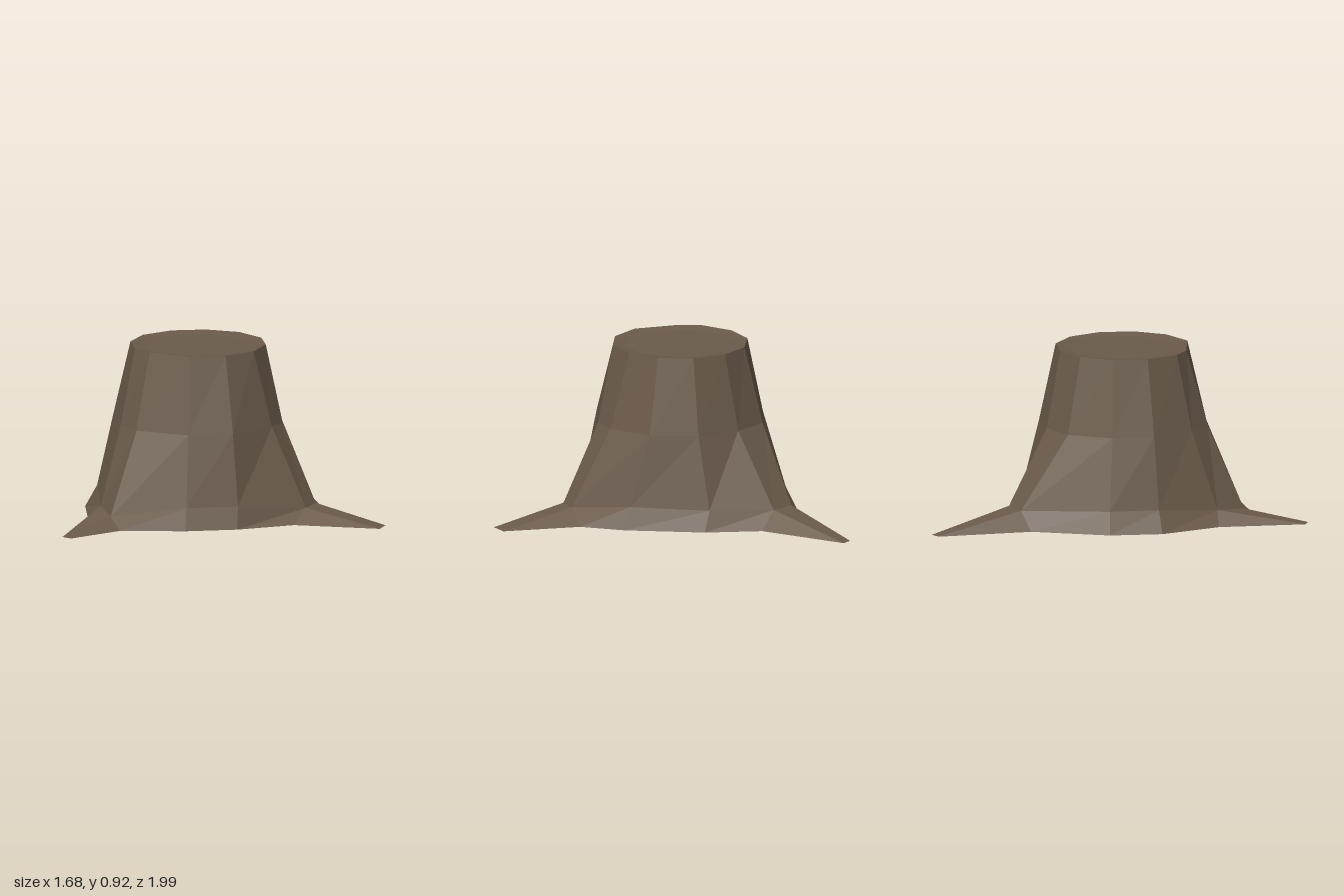
import * as THREE from 'three';

// Twelve columns, running back -> left -> front -> right; [x, y, z] per ring.
const top = [[-0.2, -0.205], [-0.38, -0.16], [-0.52, -0.025], [-0.565, 0.155], [-0.52, 0.34], [-0.43, 0.43],
  [-0.2, 0.525], [-0.015, 0.475], [0.12, 0.34], [0.165, 0.155], [0.12, -0.025], [-0.015, -0.16]]
  .map(([x, z]) => [x, 0.92, z]);
const mid = [[-0.22, -0.29], [-0.43, -0.25], [-0.6, -0.06], [-0.66, 0.155], [-0.59, 0.4], [-0.49, 0.53],
  [-0.2, 0.62], [0.035, 0.565], [0.22, 0.345], [0.26, 0.2], [0.21, -0.06], [0.02, -0.24]]
  .map(([x, z]) => [x, 0.51, z]);
const low = [[-0.265, 0.11, -0.525], [-0.405, 0.11, -0.51], [-0.69, 0.13, -0.11], [-0.745, 0.13, 0.15],
  [-0.685, 0.09, 0.51], [-0.61, 0.07, 0.69], [-0.2, 0.13, 0.71], [0.07, 0.13, 0.635],
  [0.41, 0.085, 0.41], [0.45, 0.09, 0.295], [0.32, 0.13, -0.03], [0.03, 0.12, -0.34]];
const base = [[-0.17, -0.54], [-0.5, -0.49], [-0.74, -0.13], [-0.81, 0.145], [-0.755, 0.49], [-0.55, 0.78],
  [-0.2, 0.75], [0.07, 0.675], [0.36, 0.52], [0.5, 0.175], [0.37, -0.04], [0.08, -0.36]]
  .map(([x, z]) => [x, 0.012, z]);

// Root tips, two corners each, growing from columns i and i + 1.
const roots = [
  { name: 'backRoot', i: 0, tip: [[-0.345, 0.005, -1], [-0.405, 0.005, -0.985]] },
  { name: 'frontRightRoot', i: 4, tip: [[-0.84, 0.008, 0.955], [-0.79, 0.008, 0.99]] },
  { name: 'leftRoot', i: 8, tip: [[0.82, 0, 0.51], [0.84, 0, 0.41]] },
];

export function createModel() {
  const group = new THREE.Group();
  group.name = 'treeStump';
  const bark = new THREE.MeshStandardMaterial({ color: 0x6a5a4b, flatShading: true });
  bark.name = 'bark brown';

  // Builds a faceted mesh from triangles and quads.
  const addFaces = (name, faces) => {
    const pos = [];
    for (const [a, b, c, d] of faces) {
      pos.push(...a, ...b, ...c);
      if (d) pos.push(...a, ...c, ...d);
    }
    const geo = new THREE.BufferGeometry();
    geo.setAttribute('position', new THREE.Float32BufferAttribute(pos, 3));
    geo.computeVertexNormals();
    const mesh = new THREE.Mesh(geo, bark);
    mesh.name = name;
    group.add(mesh);
  };

  const trunk = [], flare = [], cut = [], underside = [];
  const cutCentre = [-0.2, 0.91, 0.16], floorCentre = [-0.2, 0.015, 0.16];
  // Slightly sunken inner ring of the cut
  const inner = top.map(([x, , z]) => [-0.2 + (x + 0.2) * 0.8, 0.91, 0.16 + (z - 0.16) * 0.8]);
  for (let i = 0; i < 12; i++) {
    const j = (i + 1) % 12;
    trunk.push([mid[i], mid[j], top[j], top[i]], [low[i], low[j], mid[j], mid[i]]);
    if (i % 4 !== 0) flare.push([base[i], base[j], low[j], low[i]]);
    cut.push([top[i], top[j], inner[j], inner[i]], [inner[i], inner[j], cutCentre]);
    underside.push([floorCentre, base[j], base[i]]);
  }
  addFaces('trunk', trunk);
  addFaces('baseFlare', flare);
  addFaces('cutTop', cut);
  addFaces('underside', underside);

  // Tapering wedge roots: top, two sides and bottom
  for (const { name, i, tip: [p, q] } of roots) {
    const j = i + 1;
    addFaces(name, [
      [p, q, low[j], low[i]],
      [base[i], p, low[i]],
      [q, base[j], low[j]],
      [base[i], base[j], q, p],
    ]);
  }
  return group;
}
